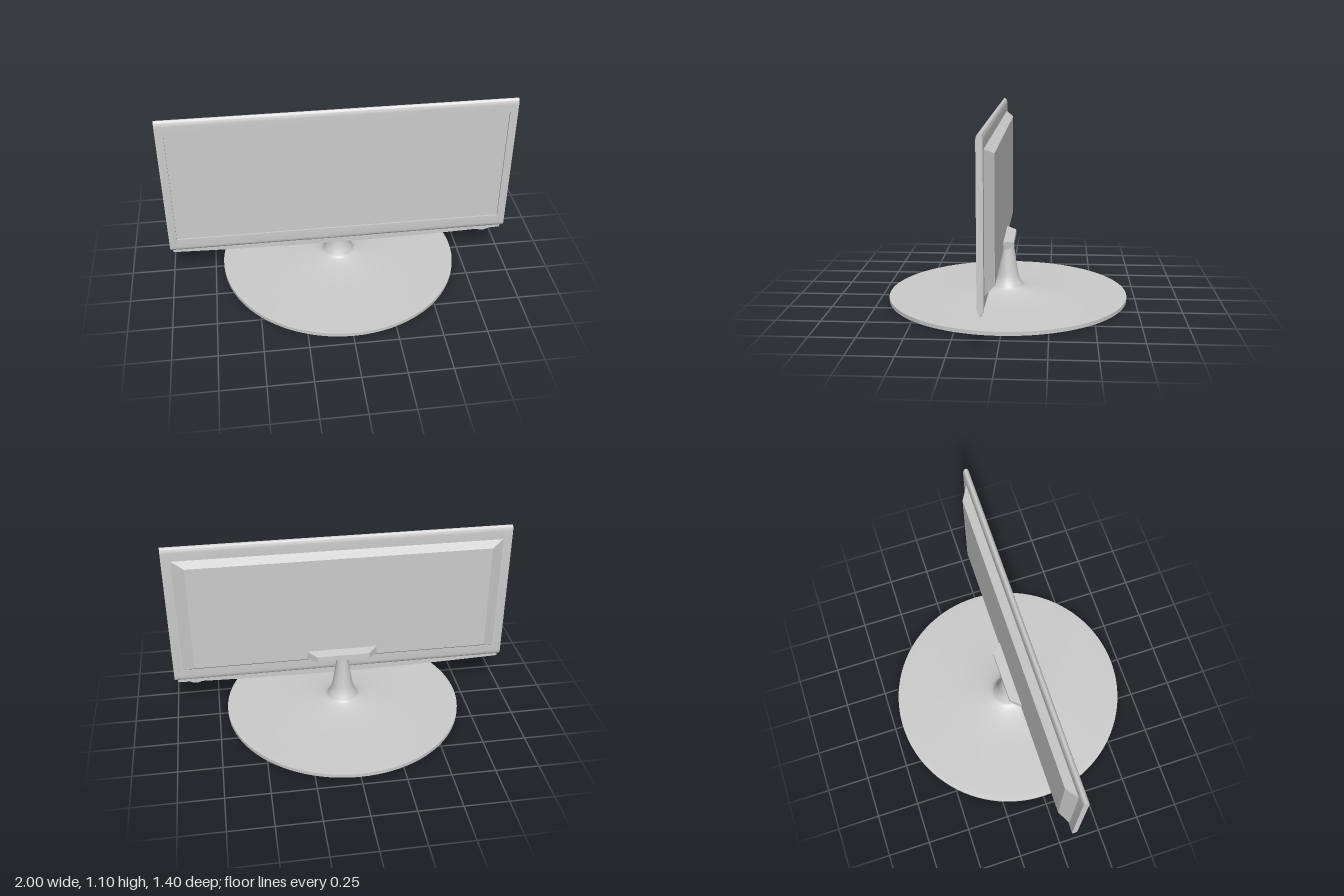
import * as THREE from 'three';
import { toCreasedNormals } from 'three/addons/utils/BufferGeometryUtils.js';

const material = new THREE.MeshStandardMaterial({ color: 0xcccccc });
const CZ = 0.078; // depth centre of the bezel
const HALF = 0.017; // half thickness of the bezel
const BOTTOM = 0.22, TOP = 1.1;

function add(group, name, geometry) {
  const mesh = new THREE.Mesh(geometry, material);
  mesh.name = name;
  group.add(mesh);
}

// Extrudes a closed (z, y) outline along x between x0 and x1
function sweepX(points, x0, x1) {
  const shape = new THREE.Shape(points.map(([z, y]) => new THREE.Vector2(-z, y)));
  const g = new THREE.ExtrudeGeometry(shape, { depth: x1 - x0, bevelEnabled: false });
  g.rotateY(Math.PI / 2).translate(x0, 0, 0);
  return toCreasedNormals(g, 0.7);
}

// Half-ellipse arc over the bezel thickness, from front to back
function arc(baseY, height, half = HALF, n = 14) {
  return Array.from({ length: n + 1 }, (_, i) => {
    const a = (i / n) * Math.PI;
    return [CZ + half * Math.cos(a), baseY + height * Math.sin(a)];
  });
}

// Box whose rear face is inset by dx at the sides and top/bottom amounts
function taperedBox(w, y0, y1, zFront, zBack, dx, dBottom, dTop) {
  const g = new THREE.BoxGeometry(w, y1 - y0, zFront - zBack);
  g.translate(0, (y0 + y1) / 2, (zFront + zBack) / 2);
  const p = g.attributes.position;
  const mid = (y0 + y1) / 2;
  for (let i = 0; i < p.count; i++) {
    if (p.getZ(i) > (zFront + zBack) / 2) continue;
    const y = p.getY(i);
    p.setX(i, p.getX(i) - Math.sign(p.getX(i)) * dx);
    p.setY(i, y > mid ? y - dTop : y + dBottom);
  }
  g.computeVertexNormals();
  return g;
}

export function createModel() {
  const model = new THREE.Group();
  model.name = 'monitor';

  // Round base flowing up into the neck
  const flare = new THREE.SplineCurve([
    [0.69, 0.031], [0.47, 0.034], [0.3, 0.039], [0.17, 0.052], [0.105, 0.07],
    [0.085, 0.092], [0.066, 0.135], [0.053, 0.2], [0.04, 0.29], [0.034, 0.36],
  ].map(([x, y]) => new THREE.Vector2(x, y))).getPoints(45);
  const profile = [[0, 0], [0.62, 0], [0.62, 0.008], [0.7, 0.008], [0.7, 0.03]]
    .map(([x, y]) => new THREE.Vector2(x, y));
  add(model, 'baseAndNeck', toCreasedNormals(
    new THREE.LatheGeometry([...profile, ...flare, new THREE.Vector2(0, 0.36)], 96), 0.6));

  // Bezel: rounded top and bottom rails with two side rails
  const screen = new THREE.Group();
  screen.name = 'screen';
  model.add(screen);
  const topArc = arc(TOP - 0.035, 0.035);
  const bottomArc = arc(BOTTOM + 0.04, -0.04);
  const sideX = 0.955, openBottom = 0.303, openTop = 1.02;
  add(screen, 'topRail', sweepX([[CZ + HALF, openTop], ...topArc, [CZ - HALF, openTop]], -sideX, sideX));
  add(screen, 'bottomRail', sweepX(
    [[CZ - HALF, openBottom], ...[...bottomArc].reverse(), [CZ + HALF, openBottom]], -sideX, sideX));
  for (const s of [-1, 1]) {
    add(screen, s > 0 ? 'leftRail' : 'rightRail', sweepX(
      [...topArc, ...[...bottomArc].reverse()], s > 0 ? sideX : -1, s > 0 ? 1 : -sideX));
  }

  // Recessed display panel
  const display = new THREE.BoxGeometry(sideX * 2, openTop - openBottom, 0.025);
  display.translate(0, (openTop + openBottom) / 2, 0.0735);
  add(screen, 'displayPanel', display);

  // Rear housing with sloping sides
  add(screen, 'rearHousing', taperedBox(1.9, 0.297, 1.02, 0.063, 0.015, 0.075, 0.036, 0.033));

  // Badge plate wrapped over the lower rail
  const plateArc = arc(BOTTOM + 0.04, -0.042, HALF + 0.0012).slice(0, 8);
  add(screen, 'frontPlate', sweepX(
    [[CZ, 0.292], ...[...plateArc].reverse(), [CZ + HALF + 0.0012, 0.292]], -0.185, 0.185));
  const plateTab = new THREE.BoxGeometry(0.37, 0.04, 0.015);
  plateTab.translate(0, 0.224, CZ + 0.001);
  add(screen, 'frontPlateTab', plateTab);

  // Thin bowed lip below the bezel, with a small bump on the left
  const lip = new THREE.Shape();
  lip.moveTo(0.985, 0.24);
  lip.lineTo(-0.985, 0.24);
  lip.lineTo(-0.985, 0.206);
  lip.quadraticCurveTo(0, 0.169, 0.84, 0.201);
  lip.quadraticCurveTo(0.875, 0.181, 0.91, 0.203);
  lip.lineTo(0.98, 0.206);
  lip.closePath();
  const lipGeometry = new THREE.ExtrudeGeometry(lip, { depth: 0.011, bevelEnabled: false, curveSegments: 24 });
  lipGeometry.translate(0, 0, CZ - 0.0055);
  add(screen, 'lowerLip', toCreasedNormals(lipGeometry, 0.6));

  // Bracket joining the neck to the housing
  add(model, 'mountBracket', taperedBox(0.42, 0.335, 0.386, 0.016, -0.042, 0.055, 0.01, 0.009));

  return model;
}
